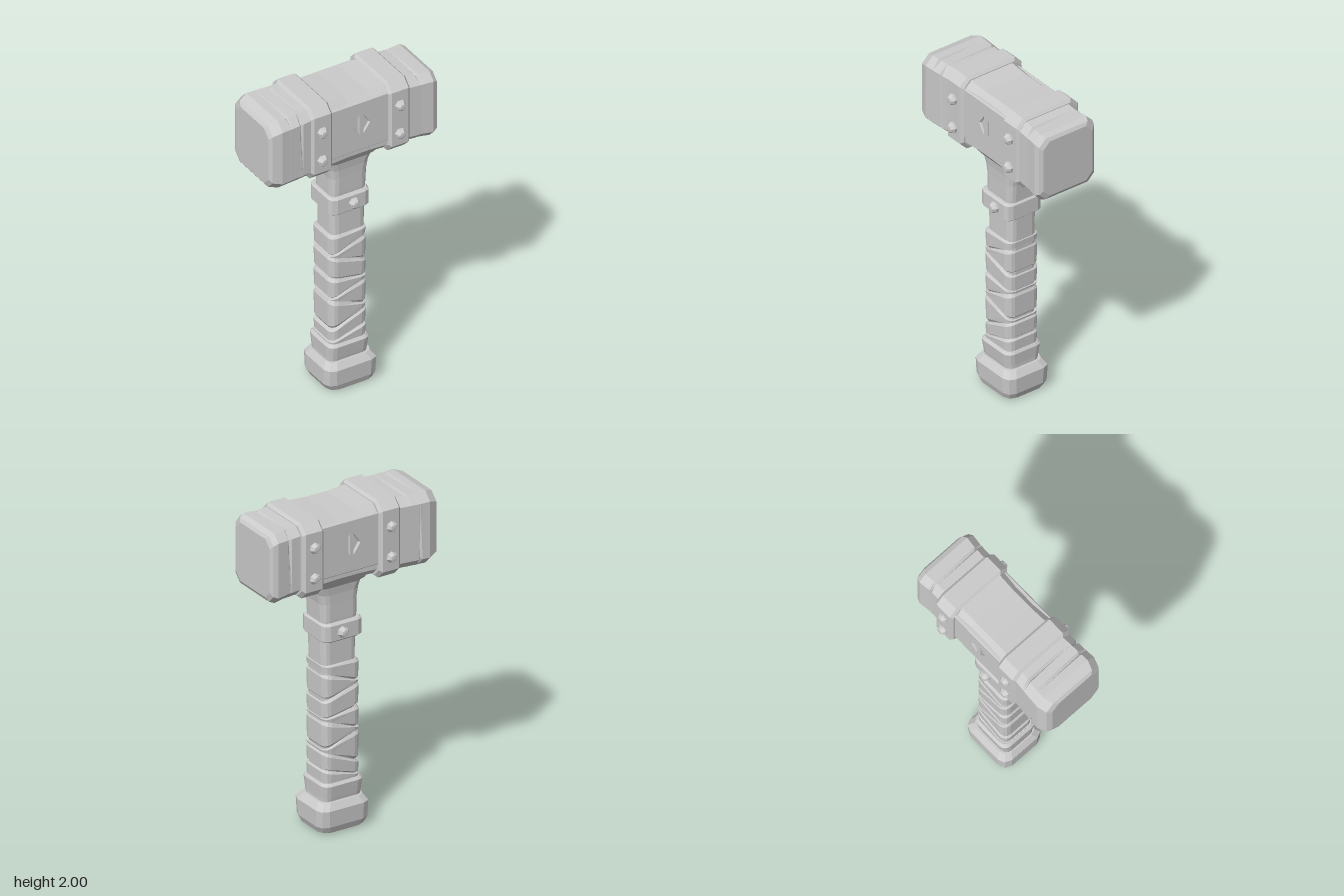
import * as THREE from 'three';

const grey = new THREE.MeshStandardMaterial({ color: 0xcccccc, flatShading: true });

// Rectangle outline with cut corners; steps = 1 gives a chamfer, more rounds it.
function outline(u0, u1, v0, v1, c, steps) {
  const corners = [[u1 - c, v1 - c], [u0 + c, v1 - c], [u0 + c, v0 + c], [u1 - c, v0 + c]];
  const pts = [];
  corners.forEach(([u, v], k) => {
    for (let i = 0; i <= steps; i++) {
      const a = (k + i / steps) * Math.PI / 2;
      pts.push([u + c * Math.cos(a), v + c * Math.sin(a)]);
    }
  });
  return pts;
}

// Skin a row of sections [pos, u0, u1, v0, v1, corner, extra].
// Along 'x': u = y, v = z, extra = list of corner points knocked inward.
// Along 'y': u = z, v = x, extra = rise of the section towards +x.
function loft(name, axis, sections, steps = 1) {
  const n = 4 * (steps + 1), pos = [], idx = [];
  const put = (p, u, v) => (axis === 'x' ? pos.push(p, u, v) : pos.push(v, p, u));
  for (const [p, u0, u1, v0, v1, c, extra] of sections) {
    const uc = (u0 + u1) / 2, vc = (v0 + v1) / 2;
    outline(u0, u1, v0, v1, c, steps).forEach(([u, v], i) => {
      if (axis === 'x') {
        const k = extra && extra.includes(i) ? 0.93 : 1;
        put(p, uc + (u - uc) * k, vc + (v - vc) * k);
      } else put(p + (extra || 0) * (v - vc) / ((v1 - v0) / 2), u, v);
    });
  }
  const last = sections.length - 1;
  for (let s = 0; s < last; s++) {
    for (let i = 0; i < n; i++) {
      const a = s * n + i, b = s * n + (i + 1) % n;
      idx.push(a, b, b + n, a, b + n, a + n);
    }
  }
  for (let i = 1; i < n - 1; i++) {
    idx.push(0, i + 1, i, last * n, last * n + i, last * n + i + 1);
  }
  const indexed = new THREE.BufferGeometry();
  indexed.setAttribute('position', new THREE.Float32BufferAttribute(pos, 3));
  indexed.setIndex(idx);
  const geo = indexed.toNonIndexed();
  geo.computeVertexNormals();
  const mesh = new THREE.Mesh(geo, grey);
  mesh.name = name;
  return mesh;
}

// Faceted rivet on the front (side = 1) or back (side = -1).
function rivet(x, y, z, side) {
  const profile = [[0.034, -0.01], [0.034, 0.012], [0.02, 0.032], [0, 0.034]];
  const geo = new THREE.LatheGeometry(profile.map(p => new THREE.Vector2(...p)), 7);
  const mesh = new THREE.Mesh(geo, grey);
  mesh.name = 'rivet';
  mesh.rotation.x = side * Math.PI / 2;
  mesh.position.set(x, y, z * side);
  return mesh;
}

// Raised face plate with a split diamond cut into it.
function emblemPlate(side) {
  const shape = new THREE.Shape([[-0.16, 1.625], [0.23, 1.625], [0.23, 1.935], [-0.16, 1.935]]
    .map(p => new THREE.Vector2(...p)));
  const cx = 0.045, cy = 1.79;
  for (const s of [-1, 1]) {
    shape.holes.push(new THREE.Path([[cx + s * 0.013, cy - 0.065], [cx + s * 0.06, cy], [cx + s * 0.013, cy + 0.065]]
      .map(p => new THREE.Vector2(...p))));
  }
  const geo = new THREE.ExtrudeGeometry(shape, {
    depth: 0.022, bevelEnabled: true, bevelSize: 0.006, bevelThickness: 0.006, bevelSegments: 1,
  });
  // Mirror about the handle's emblem centre by turning the plate around.
  const mesh = new THREE.Mesh(geo, grey);
  mesh.name = 'emblemPlate';
  if (side < 0) {
    mesh.rotation.y = Math.PI;
    mesh.position.x = 0.07;
  }
  mesh.position.z = side * 0.168;
  return mesh;
}

export function createModel() {
  const model = new THREE.Group();
  model.name = 'hammer';

  // Head: striking blocks with worn, nicked corners
  const head = new THREE.Group();
  head.name = 'head';
  head.add(loft('rightBlock', 'x', [
    [-0.55, 1.57, 1.94, -0.17, 0.175, 0.05],
    [-0.535, 1.55, 1.96, -0.2, 0.195, 0.05],
    [-0.48, 1.535, 1.98, -0.22, 0.212, 0.05],
    [-0.432, 1.536, 1.98, -0.217, 0.209, 0.05],
    [-0.42, 1.536, 1.98, -0.217, 0.209, 0.05, [0, 5]],
    [-0.408, 1.537, 1.98, -0.216, 0.208, 0.05],
    [-0.362, 1.538, 1.982, -0.212, 0.206, 0.05],
    [-0.35, 1.538, 1.982, -0.211, 0.206, 0.05, [1, 7]],
    [-0.338, 1.539, 1.982, -0.21, 0.205, 0.05],
    [-0.28, 1.54, 1.985, -0.205, 0.2, 0.05],
  ]));
  head.add(loft('leftBlock', 'x', [
    [0.35, 1.55, 1.97, -0.188, 0.2, 0.045],
    [0.418, 1.545, 1.965, -0.188, 0.203, 0.045],
    [0.43, 1.545, 1.965, -0.188, 0.203, 0.045, [0, 6]],
    [0.442, 1.545, 1.965, -0.189, 0.204, 0.045],
    [0.51, 1.537, 1.965, -0.196, 0.212, 0.045],
    [0.538, 1.548, 1.95, -0.185, 0.2, 0.045],
    [0.55, 1.57, 1.93, -0.165, 0.18, 0.045],
  ]));

  // Head: slightly waisted core with plates front and back
  head.add(loft('core', 'x', [
    [-0.17, 1.545, 1.98, -0.183, 0.187, 0.04],
    [-0.03, 1.55, 1.97, -0.18, 0.183, 0.04],
    [0.11, 1.55, 1.97, -0.18, 0.183, 0.04],
    [0.24, 1.545, 1.978, -0.18, 0.187, 0.04],
  ]));
  head.add(emblemPlate(1), emblemPlate(-1));

  // Head: bands with rivets
  for (const [x, top, bottom] of [[-0.22, 2, 1.525], [0.29, 1.99, 1.53]]) {
    const full = [bottom, top, -0.221, 0.215, 0.05];
    const inset = [bottom + 0.016, top - 0.016, -0.205, 0.199, 0.046];
    head.add(loft('headBand', 'x', [
      [x - 0.07, ...inset], [x - 0.054, ...full], [x + 0.054, ...full], [x + 0.07, ...inset],
    ]));
    for (const y of [1.845, 1.657]) {
      for (const side of [1, -1]) head.add(rivet(x - 0.003, y, 0.216, side));
    }
  }
  model.add(head);

  // Handle: flared neck and bare shaft
  const handle = new THREE.Group();
  handle.name = 'handle';
  handle.add(loft('shaft', 'y', [
    [0.15, -0.095, 0.095, -0.075, 0.135, 0.04],
    [1.2, -0.095, 0.095, -0.08, 0.143, 0.04],
    [1.3, -0.102, 0.102, -0.085, 0.147, 0.04],
    [1.4, -0.105, 0.105, -0.087, 0.153, 0.045],
    [1.46, -0.108, 0.108, -0.098, 0.165, 0.05],
    [1.51, -0.115, 0.115, -0.112, 0.185, 0.05],
    [1.525, -0.13, 0.13, -0.13, 0.2, 0.05],
    [1.59, -0.18, 0.18, -0.145, 0.215, 0.05],
  ], 3));

  // Handle: riveted ring
  const ring = [-0.125, 0.125, -0.105, 0.157, 0.04];
  const ringIn = [-0.115, 0.115, -0.095, 0.147, 0.038];
  handle.add(loft('handleBand', 'y', [[1.172, ...ringIn], [1.182, ...ring], [1.275, ...ring], [1.285, ...ringIn]], 2));
  for (const side of [1, -1]) handle.add(rivet(0.04, 1.227, 0.126, side));

  // Grip: wrapped strips between tilted seams [height, rise towards +x]
  const seams = [[0.29, 0], [0.345, 0.035], [0.44, 0.05], [0.55, -0.045], [0.64, 0.045],
    [0.715, -0.02], [0.845, -0.038], [0.93, 0.046], [1.025, 0]];
  for (let i = 0; i < seams.length - 1; i++) {
    const [y0, t0] = seams[i], [y1, t1] = seams[i + 1];
    const at = f => [y0 + (y1 - y0) * f, t0 + (t1 - t0) * f];
    const strip = [[0.02, 0.014], [0.12, 0.002], [0.85, 0], [0.98, 0.012]].map(([f, d]) => {
      const [y, t] = at(f);
      return [y, -0.11 + d, 0.11 - d, -0.096 + d, 0.146 - d, 0.042, t];
    });
    handle.add(loft('gripWrap', 'y', strip, 3));
  }

  // Grip: lower cuff
  handle.add(loft('cuff', 'y', [
    [0.17, -0.108, 0.108, -0.108, 0.152, 0.045],
    [0.21, -0.115, 0.115, -0.108, 0.152, 0.045],
    [0.285, -0.125, 0.125, -0.112, 0.157, 0.045],
    [0.3, -0.112, 0.112, -0.1, 0.147, 0.042],
  ], 3));
  model.add(handle);

  // Pommel
  model.add(loft('pommel', 'y', [
    [0, -0.115, 0.12, -0.1, 0.16, 0.05],
    [0.012, -0.133, 0.135, -0.118, 0.178, 0.055],
    [0.05, -0.147, 0.147, -0.138, 0.193, 0.055],
    [0.15, -0.152, 0.152, -0.14, 0.197, 0.055],
    [0.19, -0.125, 0.125, -0.115, 0.168, 0.05],
  ], 2));

  return model;
}
